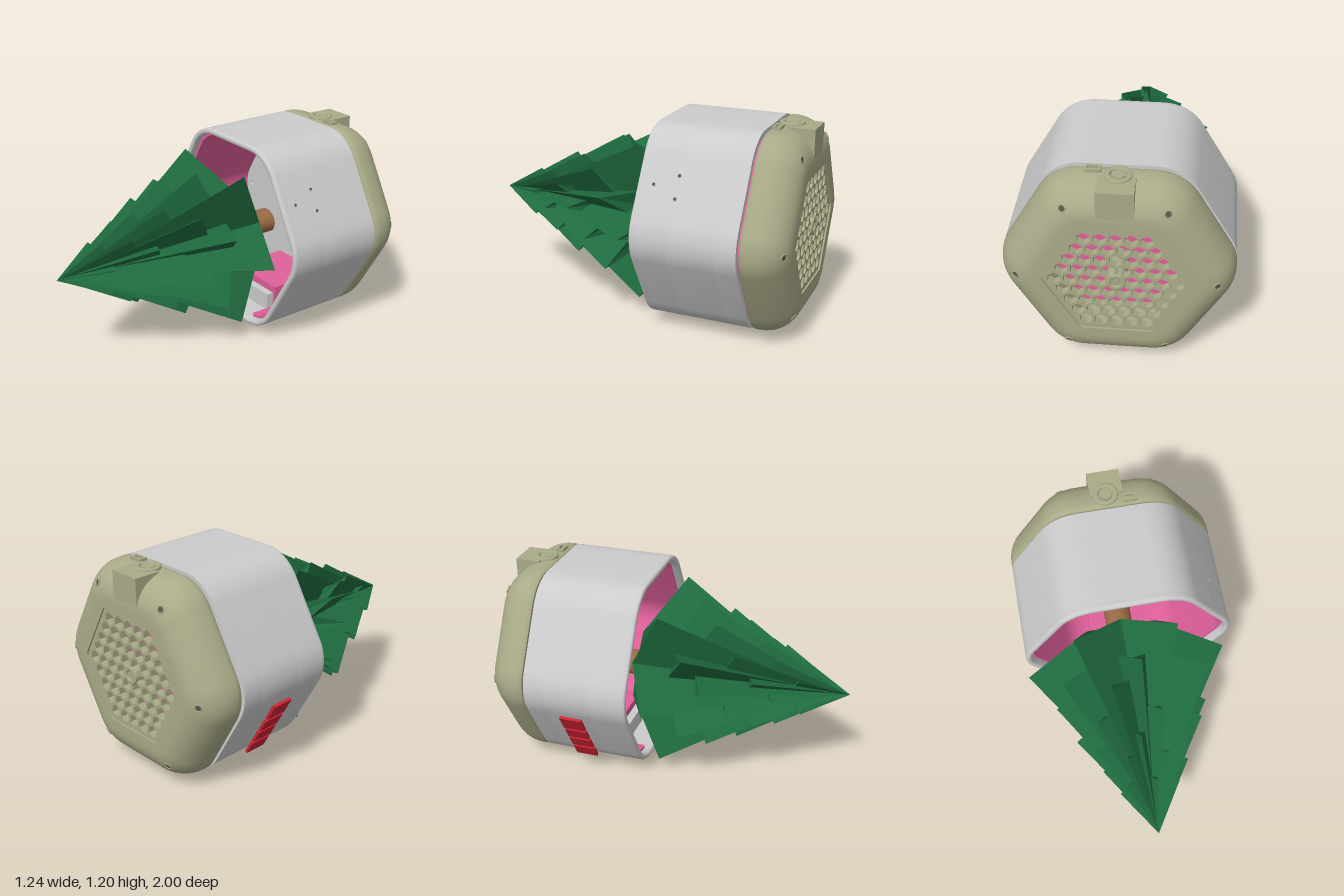
import * as THREE from 'three';
import { toCreasedNormals } from 'three/addons/utils/BufferGeometryUtils.js';

const paint = (color) => new THREE.MeshStandardMaterial({ color, side: THREE.DoubleSide });
const grey = paint(0xcccccc), pink = paint(0xe0609a), olive = paint(0xa9aa88);
const brown = paint(0x9a6a45), red = paint(0xcc2233), dark = paint(0x55554a);
const green = new THREE.MeshStandardMaterial({ color: 0x1f6b3f, flatShading: true });
const CY = 0.61; // height of the housing axis

// Rounded hexagon with flat top, running from right of the bottom edge round to its left
function hexPoints(apothem, r, seg = 8) {
  const pts = [], d = (apothem - r) / Math.cos(Math.PI / 6);
  for (let k = 0; k < 6; k++) {
    const c = (-60 + 60 * k) * Math.PI / 180;
    for (let i = 0; i <= seg; i++) {
      const a = c + (i / seg - 0.5) * Math.PI / 3;
      pts.push(new THREE.Vector2(d * Math.cos(c) + r * Math.cos(a), d * Math.sin(c) + r * Math.sin(a)));
    }
  }
  return pts;
}

const circle = (x, y, r, n = 20, turn = 0) => Array.from({ length: n }, (_, i) => {
  const a = turn + i / n * Math.PI * 2;
  return new THREE.Vector2(x + r * Math.cos(a), y + r * Math.sin(a));
});

// Hexagonal wall with a gap of half width g in the bottom edge
function openWall(a0, r0, a1, r1, g) {
  const v = (x, y) => new THREE.Vector2(x, y);
  return [v(g, -a0), ...hexPoints(a0, r0), v(-g, -a0), v(-g, -a1), ...hexPoints(a1, r1).reverse(), v(g, -a1)];
}

// Extrusion between z0 and z1, optionally bevelled inside its outline
function slab(name, mat, pts, holes, z0, z1, bevel = 0) {
  const shape = new THREE.Shape(pts);
  shape.holes = holes.map((h) => new THREE.Path(h));
  const geo = new THREE.ExtrudeGeometry(shape, {
    depth: z1 - z0 - 2 * bevel, bevelEnabled: bevel > 0, bevelSize: bevel, bevelThickness: bevel,
    bevelOffset: -bevel, bevelSegments: 3,
  });
  geo.translate(0, 0, z0 + bevel);
  const mesh = new THREE.Mesh(toCreasedNormals(geo, 0.6), mat);
  mesh.name = name;
  return mesh;
}

function box(name, mat, x0, x1, y0, y1, z0, z1) {
  const mesh = new THREE.Mesh(new THREE.BoxGeometry(x1 - x0, y1 - y0, z1 - z0), mat);
  mesh.position.set((x0 + x1) / 2, (y0 + y1) / 2, (z0 + z1) / 2);
  mesh.name = name;
  return mesh;
}

// Flat disc with a raised rim, facing along dir
function socket(name, mat, r, pos, dir) {
  const g = new THREE.Group();
  g.name = name;
  g.add(new THREE.Mesh(new THREE.TorusGeometry(r, r * 0.2, 8, 20), mat));
  g.add(new THREE.Mesh(new THREE.CircleGeometry(r, 20), dark));
  g.position.copy(pos);
  g.lookAt(pos.clone().add(dir));
  return g;
}

function roundRect(w, h, r) {
  const pts = [];
  [[1, 1, 0], [-1, 1, 1], [-1, -1, 2], [1, -1, 3]].forEach(([sx, sy, q]) => {
    for (let i = 0; i <= 6; i++) {
      const a = (q + i / 6) * Math.PI / 2;
      pts.push(new THREE.Vector2(sx * (w - r) + r * Math.cos(a), sy * (h - r) + r * Math.sin(a)));
    }
  });
  return pts;
}

// One tier of branches: a six-pointed star drawn out to a front apex
function starTier(radius, z, apexZ, turn) {
  const ring = [], pos = [];
  for (let i = 0; i < 12; i++) {
    const a = turn + i * Math.PI / 6, r = i % 2 ? radius * 0.4 : radius;
    ring.push([r * Math.cos(a), r * Math.sin(a), i % 2 ? z - radius * 0.32 : z]);
  }
  ring.forEach((p, i) => {
    const q = ring[(i + 1) % 12];
    pos.push(...p, ...q, 0, 0, apexZ, ...q, ...p, 0, 0, z - radius * 0.4);
  });
  const geo = new THREE.BufferGeometry();
  geo.setAttribute('position', new THREE.Float32BufferAttribute(pos, 3));
  geo.computeVertexNormals();
  return new THREE.Mesh(geo, green);
}

// Domed back cover lofted through rounded hexagons, returning along the grille opening
function coverGeometry() {
  const rings = [[0.56, 0.24, -0.765], [0.57, 0.25, -0.78]];
  for (let i = 0; i <= 10; i++) {
    const t = i / 10 * Math.PI / 2, inset = 0.18 * (1 - Math.cos(t));
    rings.push([0.57 - inset, 0.25 - inset * 0.8, -0.8 - 0.2 * Math.sin(t)]);
  }
  rings.push([0.335, 0.03, -1], [0.335, 0.03, -0.78], [0.56, 0.24, -0.765]);
  const pos = [], idx = [], n = hexPoints(1, 0.1).length;
  rings.forEach(([a, r, z]) => hexPoints(a, r).forEach((p) => pos.push(p.x, p.y, z)));
  for (let i = 0; i < rings.length - 1; i++) for (let j = 0; j < n; j++) {
    const a = i * n + j, b = i * n + (j + 1) % n;
    idx.push(a, a + n, b, b, a + n, b + n);
  }
  const geo = new THREE.BufferGeometry();
  geo.setAttribute('position', new THREE.Float32BufferAttribute(pos, 3));
  geo.setIndex(idx);
  return toCreasedNormals(geo.toNonIndexed(), 0.6);
}

export function createModel() {
  const model = new THREE.Group();
  const housing = new THREE.Group();
  housing.name = 'housing';
  housing.position.y = CY;
  model.add(housing);

  // Shell in three lengths, the middle one open below for the chute
  const outer = hexPoints(0.57, 0.25), inner = hexPoints(0.535, 0.215);
  housing.add(
    slab('shellLip', grey, outer, [inner], -0.2, -0.145, 0.014),
    slab('shellFront', grey, outer, [inner], -0.36, -0.165),
    slab('shellMiddle', grey, openWall(0.57, 0.25, 0.535, 0.215, 0.1), [], -0.63, -0.36),
    slab('shellBack', grey, outer, [inner], -0.752, -0.63),
    slab('liner', pink, openWall(0.535, 0.215, 0.52, 0.2, 0.2), [], -0.74, -0.19),
    slab('rearPlate', pink, hexPoints(0.54, 0.22), [], -0.77, -0.75),
  );

  // Inner panel with screw holes at the corners
  const corners = [0, 1, 2, 3, 4, 5].map((k) => k * Math.PI / 3);
  housing.add(slab('innerPanel', grey, hexPoints(0.53, 0.21),
    corners.map((a) => circle(0.52 * Math.cos(a), 0.52 * Math.sin(a), 0.015)), -0.74, -0.72));

  // Curved pocket wall and its tube in the upper corner
  const arc = (r, a0, a1) => Array.from({ length: 21 }, (_, i) => {
    const a = (a0 + (a1 - a0) * i / 20) * Math.PI / 180;
    return new THREE.Vector2(0.485 + r * Math.cos(a), 0.365 + r * Math.sin(a));
  });
  housing.add(slab('pocketWall', pink, [...arc(0.175, 138, 276), ...arc(0.155, 276, 138)], [], -0.74, -0.45));
  housing.add(slab('pocketTube', grey, circle(0.375, 0.365, 0.035), [circle(0.375, 0.365, 0.025)], -0.74, -0.6));

  // Back cover, honeycomb grille and central boss
  const cover = new THREE.Mesh(coverGeometry(), olive);
  cover.name = 'backCover';
  housing.add(cover);
  const cells = [], p = 0.08;
  for (let q = -4; q <= 4; q++) for (let r = -4; r <= 4; r++) {
    if (Math.abs(q + r) > 4 || (q === 0 && r === 0)) continue;
    cells.push(circle(p * (q + r / 2), p * r * Math.sqrt(3) / 2, 0.037, 6, Math.PI / 6));
  }
  housing.add(slab('grille', olive, hexPoints(0.338, 0.03), cells, -0.99, -0.95));
  housing.add(slab('grilleBoss', olive, circle(0, 0, 0.052, 28), [circle(0, 0, 0.026, 28)], -1, -0.78, 0.006));

  // Cover screws
  corners.forEach((a) => {
    const c = Math.cos(a), s = Math.sin(a);
    housing.add(socket('coverScrew', olive, 0.019, new THREE.Vector3(0.522 * c, 0.522 * s, -0.978),
      new THREE.Vector3(0.47 * c, 0.47 * s, -0.88)));
  });

  // Block, round socket and small port on top of the cover
  model.add(box('topBlock', olive, -0.095, 0.095, 0.96, 1.183, -0.998, -0.85));
  const knob = slab('topSocket', olive, circle(0, 0, 0.07, 32), [circle(0, 0, 0.042, 32)], 0, 0.07, 0.006);
  knob.rotation.x = -Math.PI / 2;
  knob.position.set(-0.005, 1.125, -0.845);
  const knobFloor = new THREE.Mesh(new THREE.CylinderGeometry(0.036, 0.036, 0.02, 24), olive);
  knobFloor.name = 'topSocketCore';
  knobFloor.position.set(-0.005, 1.182, -0.845);
  const port = slab('topPort', olive, roundRect(0.042, 0.024, 0.005), [roundRect(0.028, 0.012, 0.003)], 0, 0.05);
  port.rotation.x = -Math.PI / 2;
  port.position.set(0.125, 1.145, -0.803);
  model.add(knob, knobFloor, port);

  // Chute: rimmed plate below, hood, ramp and front tray inside
  const plate = slab('chutePlate', grey, roundRect(0.165, 0.226, 0.045), [roundRect(0.1, 0.135, 0.035)], 0, 0.06, 0.015);
  plate.rotation.x = -Math.PI / 2;
  plate.position.z = -0.497;
  const ramp = box('chuteRamp', pink, -0.19, 0.19, -0.006, 0.006, -0.17, 0.17);
  ramp.position.set(0, 0.155, -0.56);
  ramp.rotation.x = -0.35;
  model.add(plate, ramp,
    box('chuteRoof', pink, -0.2, 0.2, 0.21, 0.225, -0.72, -0.36),
    box('chuteFront', pink, -0.2, 0.2, 0.075, 0.225, -0.37, -0.355),
    box('trayFront', grey, -0.18, 0.18, 0.07, 0.18, -0.355, -0.31));
  for (const s of [-1, 1]) {
    const side = box('chuteSide', pink, -0.0075, 0.0075, 0.075, 0.225, -0.72, -0.36);
    side.position.x = s * 0.1925;
    model.add(side);
  }

  // Sensor holes on the upper face
  const n = new THREE.Vector3(Math.cos(Math.PI / 6), 0.5, 0);
  [[0.29, -0.24], [0.345, -0.375], [0.235, -0.375]].forEach(([y, z]) => {
    const pos = new THREE.Vector3((0.571 - 0.5 * y) / n.x, y, z);
    housing.add(socket('sensorHole', grey, 0.011, pos, n));
  });

  // Plain red strips along the lower side face
  [[0, 0.112], [0.13, 0.085], [0.232, 0.085], [0.335, 0.09]].forEach(([t, len]) => {
    const strip = box('sideStrip', red, -0.008, 0.008, -len / 2, len / 2, -0.065, 0.065);
    const m = t + len / 2;
    strip.position.set(-0.615 + 0.5 * m, 0.485 - 0.866 * m, -0.475);
    strip.rotation.z = Math.PI / 6;
    model.add(strip);
  });

  // Tree pointing forward, with its trunk reaching the inner panel
  const tree = new THREE.Group();
  tree.name = 'tree';
  tree.position.set(-0.03, 0.575, 0);
  tree.scale.y = 0.91;
  const tiers = [[0.59, -0.05, 0.84], [0.5, 0.12, 0.88], [0.445, 0.24, 0.915], [0.375, 0.38, 0.945],
    [0.31, 0.5, 0.97], [0.25, 0.6, 0.985], [0.18, 0.73, 1]];
  tiers.forEach(([r, z, apex], i) => {
    const tier = starTier(r, z, apex, i * 23 * Math.PI / 180);
    tier.name = 'branchTier';
    tree.add(tier);
  });
  const trunk = new THREE.Mesh(new THREE.CylinderGeometry(0.08, 0.08, 0.3, 24), brown);
  trunk.name = 'trunk';
  trunk.rotation.x = Math.PI / 2;
  trunk.position.z = -0.31;
  tree.add(trunk);
  model.add(tree);
  return model;
}
